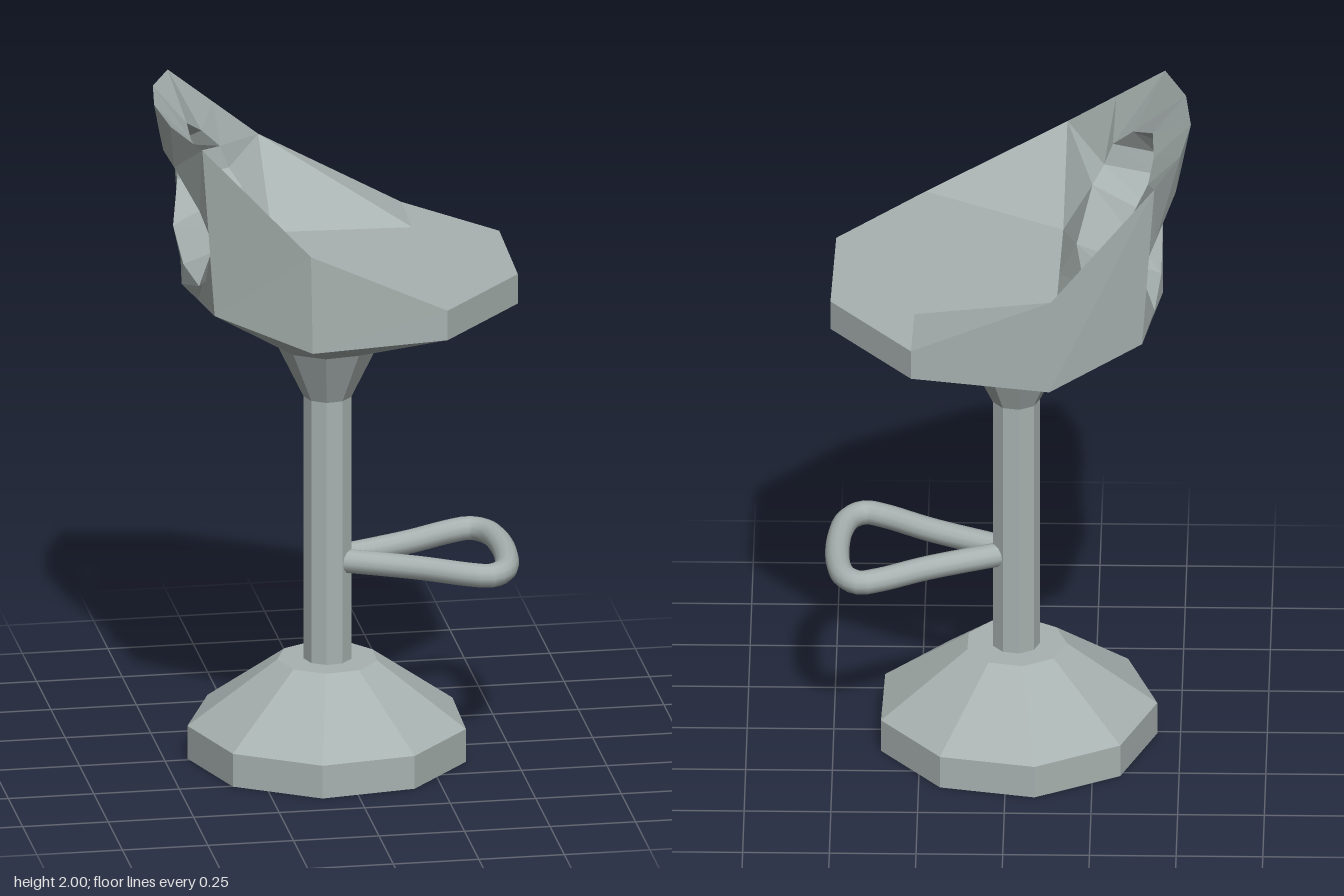
import * as THREE from 'three';

const SIDES = 9;

// Faceted normals baked into the geometry
function flat(geometry) {
  const g = geometry.index ? geometry.toNonIndexed() : geometry;
  g.deleteAttribute('normal');
  g.computeVertexNormals();
  return g;
}

// Nine-sided turned part with a corner pointing to the back (-x)
function turned(points) {
  const profile = points.map(([r, y]) => new THREE.Vector2(r, y));
  return flat(new THREE.LatheGeometry(profile, SIDES, -Math.PI / 2));
}

// Polygons of the left half, mirrored in z to give both halves
function mirrored(polygons) {
  const positions = [];
  const fan = (poly) => {
    for (let i = 1; i < poly.length - 1; i++) positions.push(...poly[0], ...poly[i], ...poly[i + 1]);
  };
  for (const poly of polygons) {
    fan(poly);
    fan(poly.map(([x, y, z]) => [x, y, -z]).reverse());
  }
  const g = new THREE.BufferGeometry();
  g.setAttribute('position', new THREE.Float32BufferAttribute(positions, 3));
  return flat(g);
}

// Strip of quads between two equally long rows of points
function strip(a, b) {
  return a.slice(1).map((p, i) => [p, a[i], b[i], b[i + 1]]);
}

export function createModel() {
  const model = new THREE.Group();
  const stool = new THREE.Group();
  stool.name = 'barStool';
  stool.position.x = -0.025;
  stool.rotation.y = -THREE.MathUtils.degToRad(1.5);
  model.add(stool);

  const grey = new THREE.MeshStandardMaterial({ color: 0xa8b2b0, side: THREE.DoubleSide });
  grey.name = 'paleGrey';
  const add = (name, geometry) => {
    const mesh = new THREE.Mesh(geometry, grey);
    mesh.name = name;
    stool.add(mesh);
  };

  // Base, column and the flare under the seat
  add('base', turned([[0, 0], [0.408, 0], [0.408, 0.1], [0.147, 0.29], [0, 0.29]]));
  add('column', turned([[0.07, 0.29], [0.07, 1.09]]));
  add('columnFlare', turned([[0.07, 1.09], [0.147, 1.25]]));

  // Footrest loop
  const side = [[0.04, 0.02], [0.25, 0.115], [0.39, 0.195], [0.445, 0.212], [0.49, 0.17]];
  const path = [
    ...side.map(([x, z]) => new THREE.Vector3(x, 0.59, z)),
    new THREE.Vector3(0.515, 0.59, 0),
    ...side.map(([x, z]) => new THREE.Vector3(x, 0.59, -z)).reverse(),
  ];
  add('footrest', new THREE.TubeGeometry(new THREE.CatmullRomCurve3(path), 64, 0.035, 12));

  // Seat rim corners, from the front middle round to the back middle
  const rimLow = [
    [0.527, 1.41, 0], [0.527, 1.41, 0.192], [0.282, 1.41, 0.483],
    [-0.12, 1.41, 0.548], [-0.38, 1.475, 0.365], [-0.425, 1.45, 0],
  ];
  const rimTop = [[0.527, 1.5, 0], [0.527, 1.5, 0.192], [0.282, 1.5, 0.483], [-0.125, 1.705, 0.548]];
  const backTop = [[-0.415, 1.98, 0.36], [-0.483, 1.995, 0.183], [-0.505, 2, 0]];

  // Underside, spreading from the flare to the rim
  const neck = [0, 20, 60, 100, 140, 180].map((deg, i) => {
    const a = THREE.MathUtils.degToRad(deg);
    return [0.147 * Math.cos(i ? a : Math.PI / 9), 1.25, 0.147 * Math.sin(a)];
  });
  add('seatUnderside', mirrored(strip(neck, rimLow)));

  // Outer sides
  const [corner, backLow] = [rimTop[3], rimLow[4]];
  add('seatSides', mirrored([
    ...strip(rimLow.slice(0, 4), rimTop),
    [backLow, rimLow[3], corner, backTop[0]],
  ]));

  // Flat seat with a raised slope on each side
  const foldMid = [-0.125, 1.5, 0], fold = [-0.125, 1.5, 0.27], edge = [0.282, 1.5, 0.258];
  add('seatTop', mirrored([
    [foldMid, fold, edge, rimTop[1], rimTop[0]],
    [edge, rimTop[2], rimTop[1]],
    [fold, corner, rimTop[2], edge],
  ]));

  // Backrest: inner and outer skins joined through the opening
  const mid = (p, q) => p.map((v, i) => (v + q[i]) / 2);
  const innerEdge = [foldMid, fold, corner, mid(corner, backTop[0]), ...backTop];
  const outerEdge = [rimLow[5], mid(rimLow[5], backLow), backLow, mid(backLow, backTop[0]), ...backTop];
  const innerHole = [
    [-0.175, 1.6, 0], [-0.208, 1.635, 0.295], [-0.24, 1.68, 0.338], [-0.265, 1.745, 0.343],
    [-0.325, 1.81, 0.3], [-0.388, 1.885, 0.155], [-0.398, 1.89, 0],
  ];
  const outerHole = [
    [-0.42, 1.51, 0], [-0.412, 1.535, 0.27], [-0.39, 1.65, 0.34], [-0.387, 1.72, 0.345],
    [-0.415, 1.775, 0.3], [-0.468, 1.86, 0.15], [-0.478, 1.86, 0],
  ];
  add('backrestInner', mirrored(strip(innerEdge, innerHole)));
  add('backrestOuter', mirrored(strip(outerHole, outerEdge)));
  add('backrestOpening', mirrored(strip(innerHole, outerHole)));

  return model;
}
